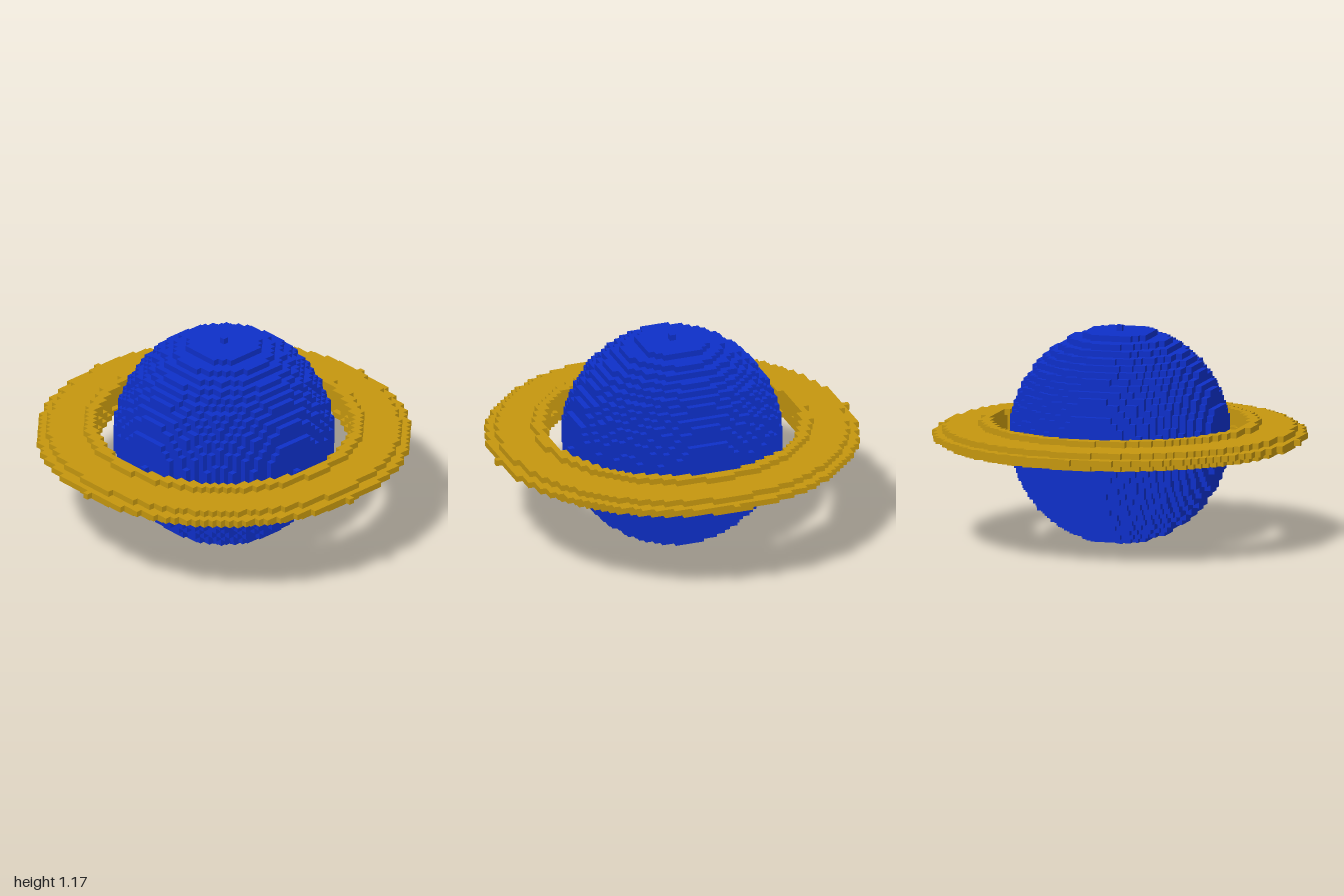
import * as THREE from 'three';

const CELL = 2 / 63;        // edge of one cube
const BALL_RADIUS = 18;     // in cubes

const planetBlue = new THREE.MeshStandardMaterial({ color: 0x0e2fc8 });
const ringGold = new THREE.MeshStandardMaterial({ color: 0xc4960f });
planetBlue.name = 'planetBlue';
ringGold.name = 'ringGold';

// True when a cell lies inside an ellipsoid of horizontal radius r and half height h
const inEllipsoid = (x, y, z, r, h) => (x * x + z * z) / (r * r) + (y * y) / (h * h) <= 1;

const inPlanet = (x, y, z) => inEllipsoid(x, y, z, BALL_RADIUS, BALL_RADIUS);

// Flat lens with a round hole through it
const inRing = (x, y, z) => inEllipsoid(x, y, z, 31, 3) && !inEllipsoid(x, y, z, 22, 9);

// Builds the outer cube faces of every cell for which filled(x, y, z) holds
function voxelGeometry(filled, radius, height) {
  const positions = [], normals = [], index = [];
  const corners = [[-1, -1], [1, -1], [1, 1], [-1, 1]];

  function addFace(cell, axis, sign) {
    const first = positions.length / 3;
    const u = (axis + 1) % 3, v = (axis + 2) % 3;
    for (const [a, b] of corners) {
      const p = [...cell], n = [0, 0, 0];
      p[axis] += sign * 0.5;
      p[u] += sign * a * 0.5;
      p[v] += b * 0.5;
      n[axis] = sign;
      positions.push(...p.map((c) => c * CELL));
      normals.push(...n);
    }
    index.push(first, first + 1, first + 2, first, first + 2, first + 3);
  }

  for (let y = -height; y <= height; y++) {
    for (let x = -radius; x <= radius; x++) {
      for (let z = -radius; z <= radius; z++) {
        if (!filled(x, y, z)) continue;
        for (let axis = 0; axis < 3; axis++) {
          for (const sign of [-1, 1]) {
            const next = [x, y, z];
            next[axis] += sign;
            if (!filled(...next)) addFace([x, y, z], axis, sign);
          }
        }
      }
    }
  }

  const geometry = new THREE.BufferGeometry();
  geometry.setAttribute('position', new THREE.Float32BufferAttribute(positions, 3));
  geometry.setAttribute('normal', new THREE.Float32BufferAttribute(normals, 3));
  geometry.setIndex(index);
  return geometry;
}

export function createModel() {
  const model = new THREE.Group();
  model.name = 'ringedPlanet';

  const planet = new THREE.Mesh(voxelGeometry(inPlanet, BALL_RADIUS, BALL_RADIUS), planetBlue);
  planet.name = 'planet';

  const ring = new THREE.Mesh(voxelGeometry(inRing, 31, 3), ringGold);
  ring.name = 'ring';

  // Both share a centre; lift so the lowest cube rests on the ground
  for (const part of [planet, ring]) {
    part.position.y = (BALL_RADIUS + 0.5) * CELL;
    model.add(part);
  }
  return model;
}
